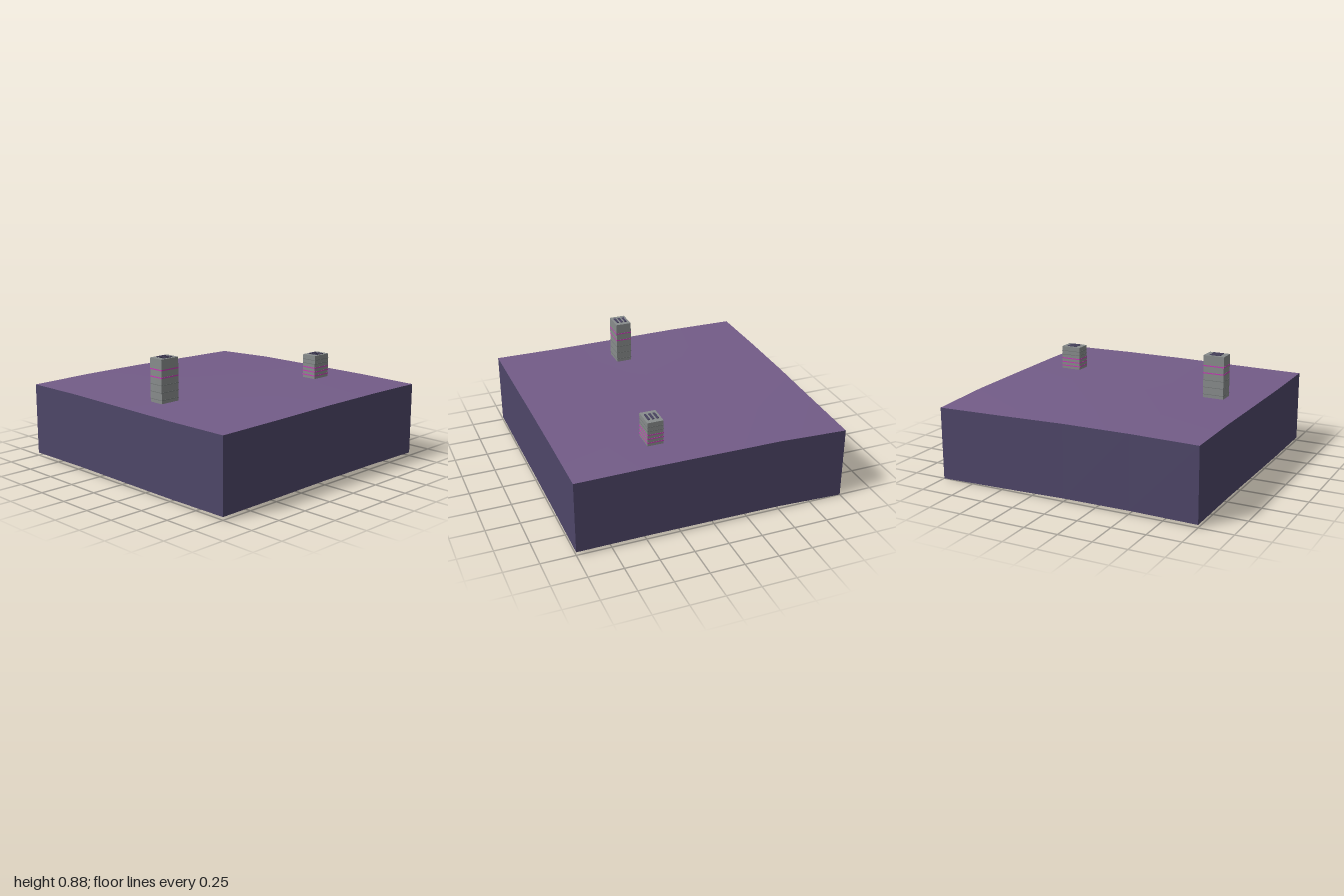
import * as THREE from 'three';

const mat = (name, color, side = THREE.FrontSide) => {
  const m = new THREE.MeshStandardMaterial({ color, side });
  m.name = name;
  return m;
};

// Ground heights on a 5 x 5 grid: rows run back to front, columns run -x to +x
const HEIGHTS = [
  [0.535, 0.556, 0.560, 0.563, 0.560],
  [0.545, 0.557, 0.561, 0.564, 0.566],
  [0.557, 0.559, 0.560, 0.562, 0.566],
  [0.560, 0.560, 0.558, 0.559, 0.560],
  [0.555, 0.560, 0.556, 0.553, 0.557],
];
const DEPTH = 0.535;
const groundHeight = (x, z) => HEIGHTS[Math.round((z + 1) * 2)][Math.round((x + 1) * 2)];

export function createModel() {
  const model = new THREE.Group();
  model.name = 'terrainBlock';
  const ground = mat('ground purple', 0x735c88, THREE.DoubleSide);
  const earth = mat('earth dark purple', 0x4e4668, THREE.DoubleSide);
  const concrete = mat('concrete grey', 0x888c8c);
  const seam = mat('seam grey', 0x727676);
  const neon = mat('neon pink', 0xc43cb4);
  const vent = mat('vent dark purple', 0x48435f);

  const add = (parent, name, geometry, material, x = 0, y = 0, z = 0) => {
    const mesh = new THREE.Mesh(geometry, material);
    mesh.name = name;
    mesh.position.set(x, y, z);
    parent.add(mesh);
    return mesh;
  };

  // Gently rolling ground surface
  const top = new THREE.PlaneGeometry(2, 2, 4, 4).rotateX(-Math.PI / 2);
  const tp = top.attributes.position;
  for (let i = 0; i < tp.count; i++) tp.setY(i, groundHeight(tp.getX(i), tp.getZ(i)));
  top.computeVertexNormals();
  add(model, 'groundSurface', top, ground);

  // Side walls follow the ground edge at a constant depth; the bottom is open
  ['frontWall', 'leftWall', 'backWall', 'rightWall'].forEach((name, k) => {
    const wall = new THREE.PlaneGeometry(2, 1, 4, 1).translate(0, 0, 1).rotateY(k * Math.PI / 2);
    const p = wall.attributes.position;
    for (let i = 0; i < p.count; i++) {
      const h = groundHeight(p.getX(i), p.getZ(i));
      p.setY(i, p.getY(i) > 0 ? h : h - DEPTH);
    }
    add(model, name, wall, earth);
  });

  // Tower with floor bands and three roof vents
  function tower(name, x, z, base, roof, bands, neonRows) {
    const W = 0.117, D = 0.157;
    const g = new THREE.Group();
    g.name = name;
    g.position.set(x, 0, z);
    model.add(g);
    add(g, 'towerBody', new THREE.BoxGeometry(W, roof - base, D), concrete, 0, (roof + base) / 2, 0);
    bands.forEach((y, i) => {
      const lit = neonRows.includes(i);
      const band = new THREE.BoxGeometry(W + 0.003, lit ? 0.008 : 0.004, D + 0.003);
      add(g, lit ? 'neonBand' : 'floorSeam', band, lit ? neon : seam, 0, y, 0);
    });
    for (const i of [-1, 0, 1]) {
      add(g, 'roofVent', new THREE.BoxGeometry(0.016, 0.006, 0.08), vent, i * 0.032, roof + 0.002, 0);
    }
  }
  tower('tallTower', 0.081, 0.665, 0.557, 0.872, [0.795, 0.741, 0.688, 0.635, 0.582], [0, 1]);
  tower('shortTower', 0.333, -0.665, 0.566, 0.745, [0.71, 0.68, 0.65, 0.62, 0.59], [2, 3, 4]);

  return model;
}
